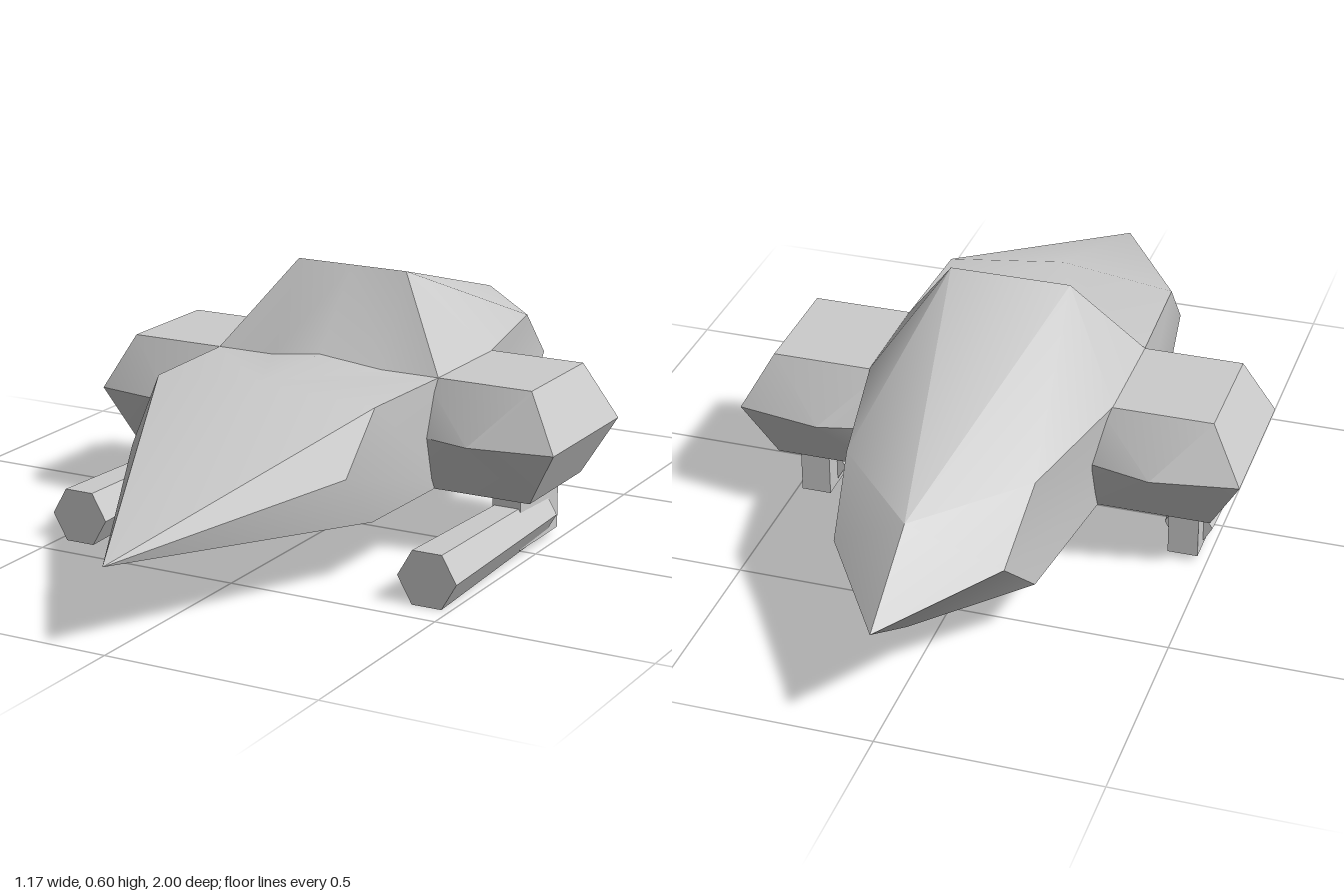
import * as THREE from 'three';
import { toCreasedNormals } from 'three/addons/utils/BufferGeometryUtils.js';

const smooth = new THREE.MeshStandardMaterial({ color: 0xcccccc });
const flat = new THREE.MeshStandardMaterial({ color: 0xcccccc, flatShading: true });

// Fans each convex polygon into triangles that face away from the centre.
// Each entry of signs scales x: 1 keeps the face, -1 mirrors it.
function solid(faces, centre, signs, crease) {
  const out = [];
  const n = new THREE.Vector3();
  for (const s of signs) {
    const mid = new THREE.Vector3(centre[0] * s, centre[1], centre[2]);
    for (const face of faces) {
      const p = face.map(([x, y, z]) => new THREE.Vector3(x * s, y, z));
      for (let i = 1; i < p.length - 1; i++) {
        const t = new THREE.Triangle(p[0], p[i], p[i + 1]);
        t.getNormal(n);
        const outward = n.dot(p[0].clone().sub(mid)) > 0;
        for (const v of outward ? [t.a, t.b, t.c] : [t.a, t.c, t.b]) out.push(v.x, v.y, v.z);
      }
    }
  }
  const g = new THREE.BufferGeometry();
  g.setAttribute('position', new THREE.Float32BufferAttribute(out, 3));
  g.computeVertexNormals();
  return toCreasedNormals(g, crease);
}

function part(name, geometry, material) {
  const m = new THREE.Mesh(geometry, material);
  m.name = name;
  return m;
}

// Faceted body with pointed nose, raised canopy and pointed tail
function hull() {
  const nose = [0, 0.19, 1], noseSide = [0.27, 0.27, 0.47];
  const deckFront = [0.275, 0.4, 0.35], ridgeFront = [0, 0.425, 0.37], ridgeBack = [0, 0.425, 0.1];
  const canopyBase = [0.14, 0.4, 0.07], deckBack = [0.285, 0.4, 0.07];
  const peakMid = [0, 0.603, -0.05], peak = [0.14, 0.603, -0.05];
  const shoulder = [0.285, 0.4, -0.2], rearTop = [0.212, 0.4, -0.55], rearRidge = [0, 0.4, -0.78];
  const tail = [0, 0.27, -1], tailSide = [0.19, 0.27, -0.7];
  const rearLow = [0.212, 0.14, -0.55], rearKeel = [0, 0.14, -0.78];
  const keel = [0, 0.015, 0], waist = [0.28, 0.14, 0], frontLow = [0.27, 0.14, 0.35];
  const faces = [
    // nose and front deck
    [nose, noseSide, deckFront, ridgeFront],
    [nose, noseSide, frontLow],
    [ridgeFront, deckFront, deckBack, canopyBase, ridgeBack],
    // canopy and back
    [peakMid, ridgeBack, canopyBase, peak],
    [peak, canopyBase, deckBack],
    [peak, deckBack, shoulder],
    [peak, peakMid, rearRidge],
    [peak, shoulder, rearTop, rearRidge],
    // tail
    [rearRidge, rearTop, tailSide, tail],
    [rearKeel, rearLow, tailSide, tail],
    // side panel
    [waist, rearLow, tailSide, rearTop, shoulder, deckBack, deckFront, noseSide, frontLow],
    // underside
    [nose, keel, frontLow],
    [keel, waist, frontLow],
    [keel, waist, rearLow, rearKeel],
  ];
  return part('hull', solid(faces, [0, 0.28, -0.05], [1, -1], 0.6), smooth);
}

// Stub wing: a bevelled block swelling at mid height
function wing(s) {
  const faces = [];
  const mid = (front) => [0.25, 0.39, 0.587].map((x, i) =>
    [x, 0.27, -0.07 + (front ? 1 : -1) * (i === 1 ? 0.21 : 0.177)]);
  const corner = (x, y, front) => [x, y, front ? 0.07 : -0.205];
  for (const y of [0.4, 0.14]) {
    faces.push([corner(0.25, y, true), corner(0.515, y, true), corner(0.515, y, false), corner(0.25, y, false)]);
    for (const front of [true, false]) {
      const [a, b, c] = mid(front);
      faces.push([b, a, corner(0.25, y, front), corner(0.515, y, front), c]);
    }
    faces.push([corner(0.515, y, true), corner(0.515, y, false), mid(false)[2], mid(true)[2]]);
  }
  return part(s > 0 ? 'leftWing' : 'rightWing', solid(faces, [0.4, 0.27, -0.07], [s], 0.35), smooth);
}

// Tapered six-sided barrel hung under the wing on a box strut
function gun(s) {
  const g = new THREE.Group();
  g.name = s > 0 ? 'leftGun' : 'rightGun';
  const tube = new THREE.CylinderGeometry(0.071, 0.056, 0.54, 6, 1, false, Math.PI / 2);
  tube.rotateX(Math.PI / 2);
  const barrel = part('barrel', tube, flat);
  barrel.position.set(0, 0.0615, 0.16);
  const strut = part('strut', new THREE.BoxGeometry(0.07, 0.14, 0.2), flat);
  strut.position.set(0, 0.085, -0.06);
  g.add(barrel, strut);
  g.position.x = 0.444 * s;
  return g;
}

export function createModel() {
  const model = new THREE.Group();
  model.name = 'spacecraft';
  model.add(hull());
  for (const s of [1, -1]) model.add(wing(s), gun(s));
  return model;
}
